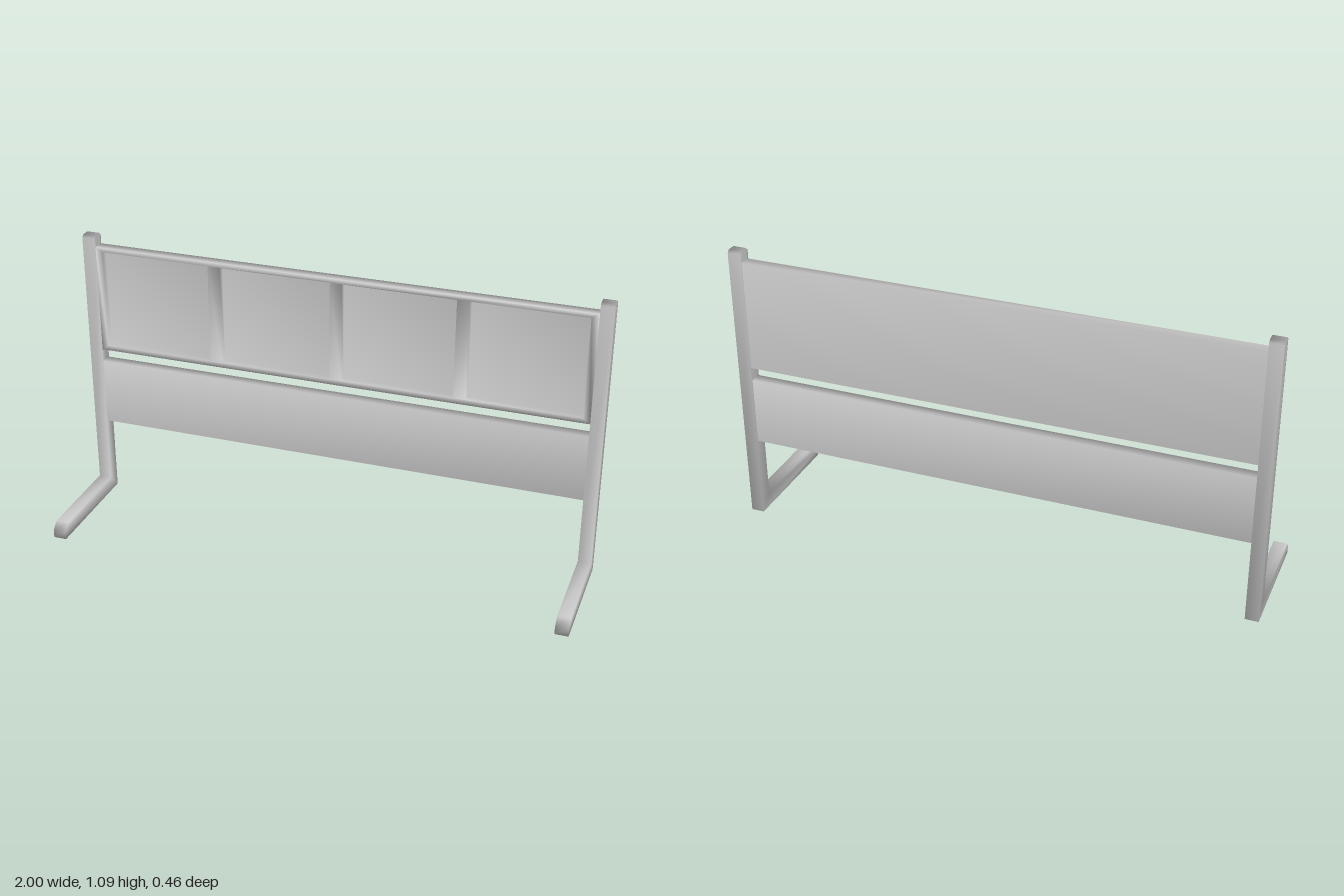
import * as THREE from 'three';
import { mergeGeometries, mergeVertices } from 'three/addons/utils/BufferGeometryUtils.js';

const material = new THREE.MeshStandardMaterial({ color: 0xcccccc });

// Joins pieces and shares their corners so the shading runs softly round the edges
function softMesh(name, ...pieces) {
  for (const p of pieces) {
    p.deleteAttribute('normal');
    p.deleteAttribute('uv');
    p.clearGroups();
  }
  const geometry = mergeVertices(mergeGeometries(pieces), 1e-4);
  geometry.computeVertexNormals();
  const mesh = new THREE.Mesh(geometry, material);
  mesh.name = name;
  return mesh;
}

// Box given by its limits; openFront leaves off the +z face, inward turns it inside out
function box(x0, x1, y0, y1, z0, z1, { openFront = false, inward = false } = {}) {
  const g = new THREE.BoxGeometry(x1 - x0, y1 - y0, z1 - z0);
  g.translate((x0 + x1) / 2, (y0 + y1) / 2, (z0 + z1) / 2);
  let index = Array.from(g.index.array);
  if (openFront) index = index.filter((_, i) => i < 24 || i >= 30);
  if (inward) index.reverse();
  g.setIndex(index);
  return g;
}

function rectangle(PathType, x0, x1, y0, y1) {
  return new PathType([[x0, y0], [x1, y0], [x1, y1], [x0, y1]].map(p => new THREE.Vector2(...p)));
}

// L-shaped upright and foot, drawn from the side (z, y)
function sideFrame(name, x) {
  const width = 0.05;
  const profile = new THREE.Shape([
    [-0.228, 0], [0.228, 0], [0.228, 0.03], [0.2, 0.057], [-0.175, 0.057],
    [-0.175, 1.08], [-0.185, 1.09], [-0.218, 1.09], [-0.228, 1.08],
  ].map(p => new THREE.Vector2(...p)));
  const g = new THREE.ExtrudeGeometry(profile, { depth: width, bevelEnabled: false });
  g.rotateY(-Math.PI / 2);
  g.translate(x + width / 2, 0, 0);
  // extrusions carry no index, so add one to match the boxes
  return softMesh(name, mergeVertices(g));
}

// Upper panel with a row of four recessed bays in its front
function recessedPanel() {
  const back = -0.222, front = -0.179, floor = -0.208;
  const bottom = 0.645, top = 1.03;
  const face = rectangle(THREE.Shape, -0.95, 0.95, 0.625, 1.047);
  const pieces = [box(-0.95, 0.95, 0.625, 1.047, back, front, { openFront: true })];
  for (const x of [-0.709, -0.236, 0.236, 0.709]) {
    const x0 = x - 0.213, x1 = x + 0.213;
    face.holes.push(rectangle(THREE.Path, x0, x1, bottom, top));
    pieces.push(box(x0, x1, bottom, top, floor, front, { openFront: true, inward: true }));
  }
  const faceGeometry = new THREE.ShapeGeometry(face);
  faceGeometry.translate(0, 0, front);
  pieces.push(faceGeometry);
  return softMesh('recessedUpperPanel', ...pieces);
}

export function createModel() {
  const model = new THREE.Group();
  model.name = 'barrier';
  model.add(sideFrame('leftSideFrame', 0.975));
  model.add(sideFrame('rightSideFrame', -0.975));
  model.add(recessedPanel());
  model.add(softMesh('lowerBoard', box(-0.95, 0.95, 0.315, 0.575, -0.222, -0.179)));
  return model;
}
